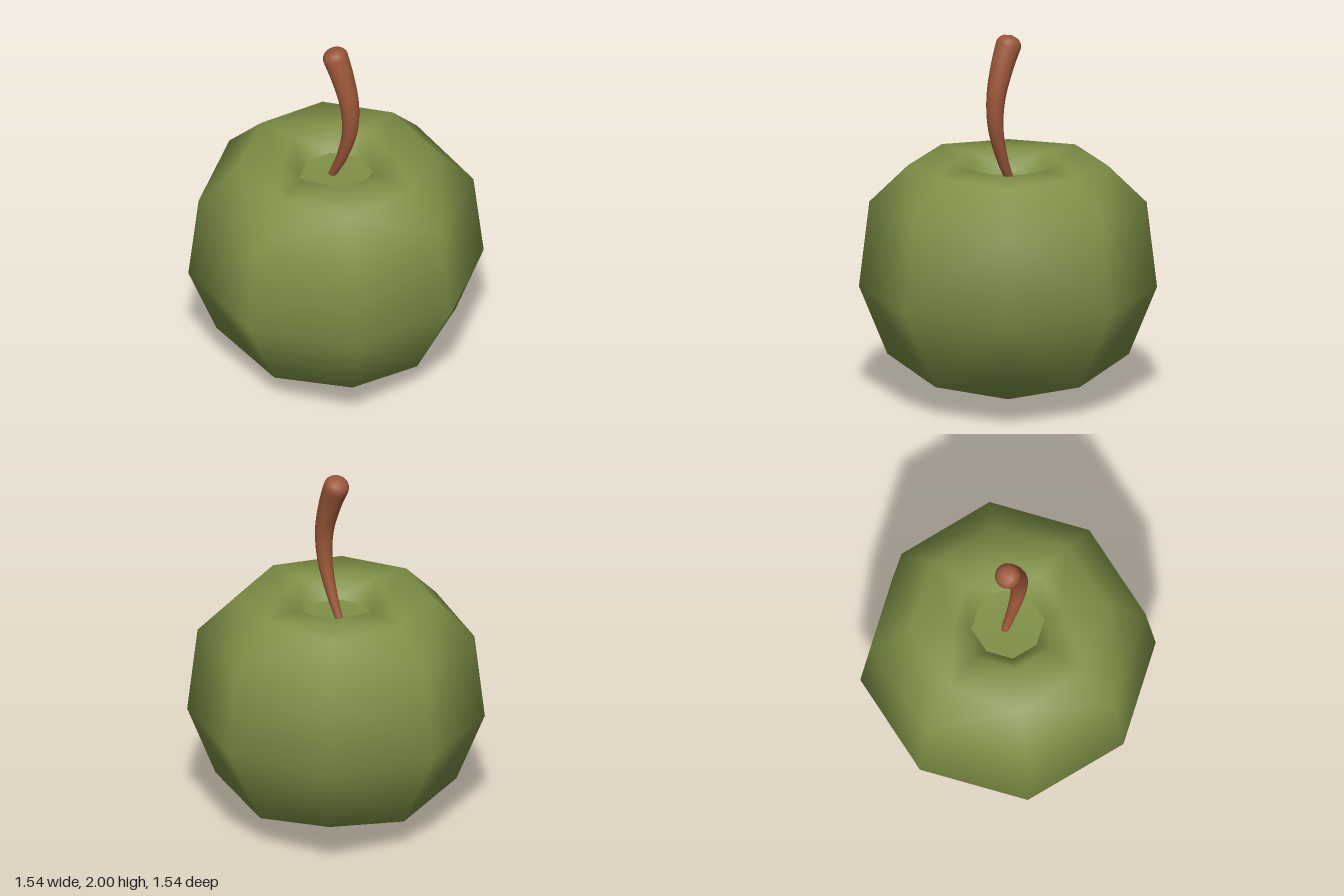
import * as THREE from 'three';
import { mergeVertices } from 'three/addons/utils/BufferGeometryUtils.js';

const SIDES = 8;

// Eight-sided skin through rings of [axis radius, axis y, diagonal radius, diagonal y]
function ringSkin(rings) {
  const pos = [], index = [];
  for (const [axisR, axisY, diagR, diagY] of rings) {
    for (let j = 0; j < SIDES; j++) {
      const a = (j / SIDES) * Math.PI * 2;
      const r = j % 2 ? diagR : axisR;
      pos.push(r * Math.sin(a), j % 2 ? diagY : axisY, r * Math.cos(a));
    }
  }
  for (let i = 0; i < rings.length - 1; i++) {
    for (let j = 0; j < SIDES; j++) {
      const k = (j + 1) % SIDES;
      const a = i * SIDES + j, b = i * SIDES + k;
      const c = b + SIDES, d = a + SIDES;
      // split each quad symmetrically, along the diagonal-corner side
      if (j % 2) index.push(a, b, d, b, c, d);
      else index.push(a, b, c, a, c, d);
    }
  }
  const geo = new THREE.BufferGeometry();
  geo.setAttribute('position', new THREE.Float32BufferAttribute(pos, 3));
  geo.setIndex(index);
  const merged = mergeVertices(geo, 1e-4);
  merged.computeVertexNormals();
  return merged;
}

// Tube that thickens towards its tip and closes in a round end
function taperedStem(points, radiusAt) {
  const n = 80, sides = 20;
  const curve = new THREE.CatmullRomCurve3(points.map(([x, y]) => new THREE.Vector3(x, y, 0)));
  const geo = new THREE.TubeGeometry(curve, n, 1, sides, false);
  const p = geo.attributes.position, v = new THREE.Vector3();
  for (let i = 0; i <= n; i++) {
    const centre = curve.getPointAt(i / n);
    for (let j = 0; j <= sides; j++) {
      const k = i * (sides + 1) + j;
      v.fromBufferAttribute(p, k).sub(centre).multiplyScalar(radiusAt(i / n)).add(centre);
      p.setXYZ(k, v.x, v.y, v.z);
    }
  }
  geo.deleteAttribute('uv');
  geo.deleteAttribute('normal');
  const merged = mergeVertices(geo, 1e-5);
  merged.computeVertexNormals();
  return merged;
}

export function createModel() {
  const group = new THREE.Group();
  const green = new THREE.MeshStandardMaterial({ color: 0x7f9147, side: THREE.DoubleSide });
  const brown = new THREE.MeshStandardMaterial({ color: 0x9a5638 });

  const add = (name, geo, mat) => {
    const mesh = new THREE.Mesh(geo, mat);
    mesh.name = name;
    group.add(mesh);
  };

  // Fruit body: pointed base, bulging sides, flat top, wall of the hollow
  const floorRing = [0.19, 1.19, 0.195, 1.19];
  add('fruitBody', ringSkin([
    [0, 0, 0, 0],
    [0.54, 0.17, 0.64, 0.25],
    [0.77, 0.62, 0.79, 0.62],
    [0.71, 1.1, 0.735, 1.085],
    [0.5, 1.305, 0.53, 1.285],
    [0.285, 1.31, 0.29, 1.3],
    floorRing,
  ]), green);

  // Floor of the hollow round the stem
  add('hollowFloor', ringSkin([floorRing, [0, 1.18, 0, 1.18]]), green);

  // Curved stem
  const tip = 0.07; // share of the length taken by the round end
  add('stem', taperedStem(
    [[-0.03, 1.17], [0.035, 1.31], [0.09, 1.5], [0.09, 1.67], [0.042, 1.84], [-0.005, 1.95], [-0.025, 1.997]],
    (t) => {
      const r = 0.02 + 0.052 * t;
      const s = Math.max(0, (t - 1 + tip) / tip);
      return r * Math.sqrt(Math.max(0, 1 - s * s));
    },
  ), brown);

  return group;
}
